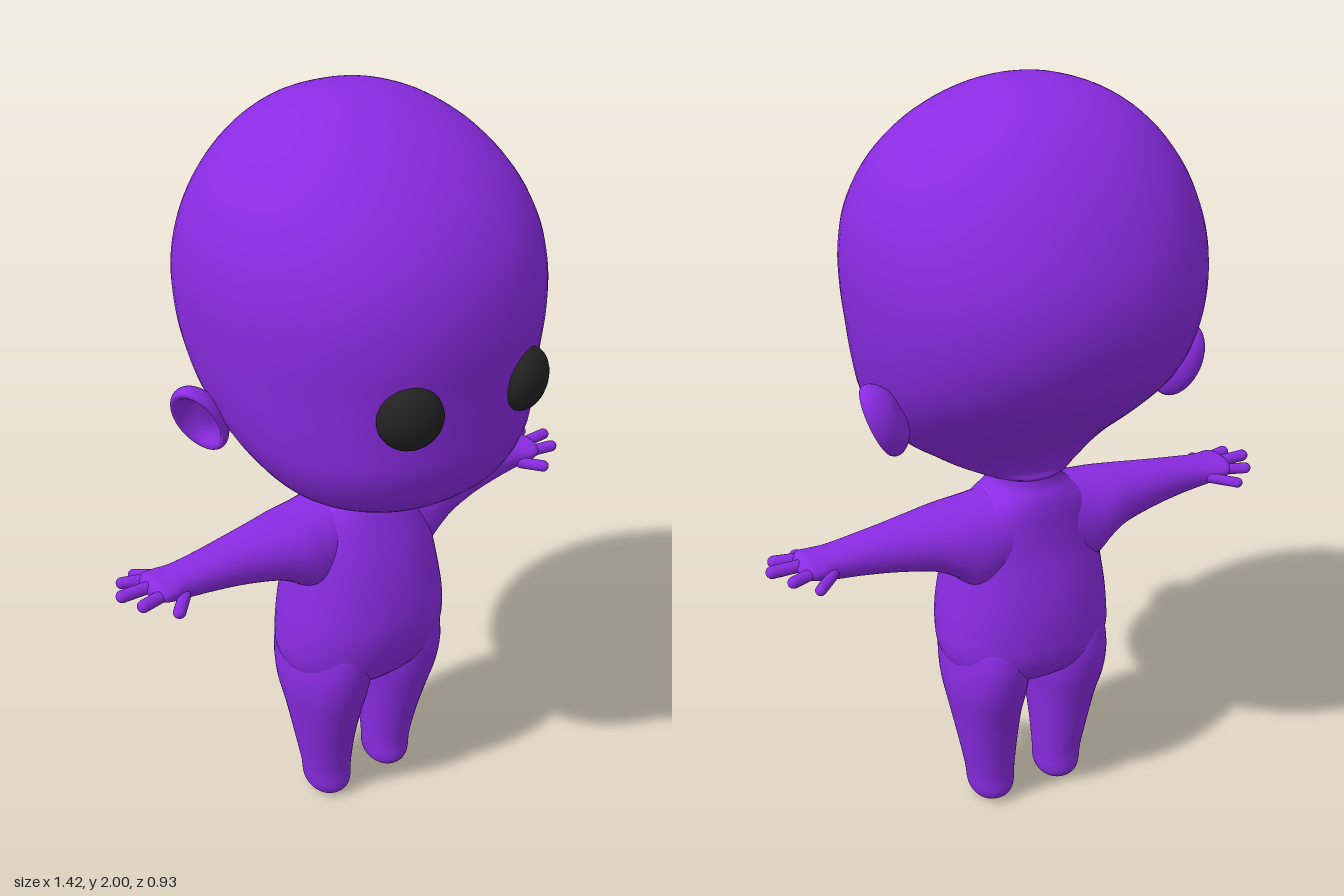
import * as THREE from 'three';

const skin = new THREE.MeshStandardMaterial({ color: 0x8a2be2 });
const dark = new THREE.MeshStandardMaterial({ color: 0x222222 });

// Smooth skin through oval sections. Row: [t, aMin, aMax, bMin, bMax]
// axis 'y': a = x, b = z; axis 'x': a = z, b = y. power > 2 makes sections squarer.
function loft(rows, axis = 'y', power = 2, steps = 48, sides = 48) {
  const c1 = new THREE.CatmullRomCurve3(rows.map(r => new THREE.Vector3(r[0], r[1], r[2])), false, 'catmullrom', 0.5);
  const c2 = new THREE.CatmullRomCurve3(rows.map(r => new THREE.Vector3(r[3], r[4], 0)), false, 'catmullrom', 0.5);
  const pos = [], index = [];
  const curve = v => Math.sign(v) * Math.abs(v) ** (2 / power);
  for (let i = 0; i <= steps; i++) {
    const p = c1.getPoint(i / steps), q = c2.getPoint(i / steps);
    for (let j = 0; j < sides; j++) {
      const th = j / sides * Math.PI * 2;
      const a = (p.y + p.z) / 2 + (p.z - p.y) / 2 * curve(Math.cos(th));
      const b = (q.x + q.y) / 2 + (q.y - q.x) / 2 * curve(Math.sin(th));
      if (axis === 'y') pos.push(a, p.x, b); else pos.push(p.x, b, a);
      if (i < steps) {
        const k = i * sides + j, n = i * sides + (j + 1) % sides;
        index.push(k, k + sides, n + sides, k, n + sides, n);
      }
    }
  }
  const g = new THREE.BufferGeometry();
  g.setAttribute('position', new THREE.Float32BufferAttribute(pos, 3));
  g.setIndex(index);
  g.computeVertexNormals();
  return g;
}

// Mirror across x and turn the faces back outwards
function mirrored(geo) {
  const g = geo.clone().scale(-1, 1, 1), idx = g.index;
  for (let i = 0; i < idx.count; i += 3) {
    const b = idx.getX(i + 1);
    idx.setX(i + 1, idx.getX(i + 2));
    idx.setX(i + 2, b);
  }
  g.computeVertexNormals();
  return g;
}

// Rounded finger from one point to another
function finger(from, to, r) {
  const a = new THREE.Vector3(...from), b = new THREE.Vector3(...to);
  const d = b.clone().sub(a);
  const g = new THREE.CapsuleGeometry(r, d.length(), 6, 14);
  g.applyQuaternion(new THREE.Quaternion().setFromUnitVectors(new THREE.Vector3(0, 1, 0), d.normalize()));
  return g.translate(...a.add(b).multiplyScalar(0.5).toArray());
}

// Cupped ear, leaning out and flaring to the back
function earGeometry() {
  const profile = new THREE.SplineCurve([
    [0, -0.04], [0.5, -0.035], [0.85, -0.015], [1, 0.008], [0.95, 0.026],
    [0.8, 0.024], [0.66, 0.004], [0.4, -0.008], [0, -0.01],
  ].map(p => new THREE.Vector2(...p))).getPoints(32);
  profile.forEach(p => { p.x = Math.max(0, p.x); });
  const g = new THREE.LatheGeometry(profile, 40).scale(0.1, 1, 0.066);
  const u = new THREE.Vector3(0.42, 0.9, 0).normalize();
  const n = new THREE.Vector3(0.45, -0.2, -0.87).cross(u).normalize();
  const w = u.clone().cross(n);
  g.applyMatrix4(new THREE.Matrix4().makeBasis(u, n, w));
  return g.translate(0.405, 1.25, -0.092);
}

export function createModel() {
  const model = new THREE.Group();
  const add = (name, geo, mat = skin) => {
    const m = new THREE.Mesh(geo, mat);
    m.name = name;
    model.add(m);
  };
  const addPair = (name, geo, mat) => {
    add('left' + name, geo, mat);
    add('right' + name, mirrored(geo), mat);
  };
  // Rows for a part symmetric in x: [y, halfWidth, zBack, zFront]
  const sym = rows => rows.map(([y, h, back, front]) => [y, -h, h, back, front]);

  // Head, tapering at the back into the neck
  add('head', loft(sym([
    [1.0, 0, 0.03, 0.03], [1.005, 0.1, -0.11, 0.17], [1.03, 0.18, -0.12, 0.26],
    [1.06, 0.235, -0.13, 0.325], [1.11, 0.305, -0.165, 0.385], [1.2, 0.368, -0.27, 0.428],
    [1.3, 0.402, -0.375, 0.438], [1.4, 0.42, -0.435, 0.445], [1.5, 0.43, -0.46, 0.455],
    [1.6, 0.43, -0.455, 0.447], [1.7, 0.41, -0.425, 0.415], [1.8, 0.362, -0.375, 0.35],
    [1.89, 0.285, -0.305, 0.255], [1.955, 0.19, -0.22, 0.15], [1.99, 0.09, -0.12, 0.055],
    [2.0, 0, -0.03, -0.03],
  ]), 'y', 2.15, 64, 64));

  // Torso with round belly, closed between the legs, and neck
  add('torso', loft(sym([
    [0.385, 0, -0.01, -0.01], [0.395, 0.1, -0.07, 0.06], [0.43, 0.19, -0.14, 0.13],
    [0.5, 0.235, -0.188, 0.176], [0.6, 0.236, -0.192, 0.195], [0.7, 0.222, -0.18, 0.183],
    [0.8, 0.205, -0.158, 0.156], [0.87, 0.185, -0.15, 0.127], [0.92, 0.16, -0.146, 0.103],
    [0.96, 0.115, -0.138, 0.08], [0.985, 0.092, -0.125, 0.063], [1.01, 0.088, -0.12, 0.06],
    [1.05, 0.1, -0.12, 0.08],
  ]), 'y', 2.2));

  // Legs: [y, xInner, xOuter, zBack, zFront]
  addPair('Leg', loft([
    [0, 0.105, 0.105, -0.015, -0.015], [0.005, 0.065, 0.145, -0.06, 0.035],
    [0.035, 0.045, 0.166, -0.087, 0.058], [0.1, 0.04, 0.175, -0.09, 0.06],
    [0.2, 0.033, 0.193, -0.107, 0.08], [0.3, 0.024, 0.211, -0.13, 0.11],
    [0.4, 0.012, 0.228, -0.163, 0.143], [0.5, 0.01, 0.225, -0.175, 0.162],
    [0.58, 0.03, 0.2, -0.14, 0.14], [0.62, 0.1, 0.1, 0, 0],
  ], 'y', 2.1));

  // Arms, flared at the shoulder and flattened into the palm: [x, zBack, zFront, yLow, yHigh]
  addPair('Arm', loft([
    [0, -0.135, 0.085, 0.74, 0.965], [0.1, -0.137, 0.09, 0.72, 0.96],
    [0.17, -0.136, 0.095, 0.705, 0.951], [0.22, -0.128, 0.09, 0.748, 0.945],
    [0.28, -0.11, 0.073, 0.779, 0.939], [0.38, -0.09, 0.05, 0.802, 0.928],
    [0.47, -0.078, 0.038, 0.816, 0.917], [0.54, -0.076, 0.034, 0.826, 0.908],
    [0.58, -0.086, 0.042, 0.838, 0.903], [0.615, -0.08, 0.036, 0.85, 0.9],
    [0.64, -0.025, -0.025, 0.875, 0.875],
  ], 'x', 2.1));

  // Five spread fingers per hand
  [
    ['Thumb', [0.555, 0.855, 0.03], [0.597, 0.85, 0.076], 0.016],
    ['IndexFinger', [0.59, 0.872, 0.015], [0.668, 0.873, 0.032], 0.016],
    ['MiddleFinger', [0.6, 0.878, -0.024], [0.692, 0.88, -0.026], 0.016],
    ['RingFinger', [0.59, 0.873, -0.06], [0.66, 0.874, -0.086], 0.015],
    ['LittleFinger', [0.555, 0.862, -0.075], [0.607, 0.858, -0.125], 0.014],
  ].forEach(([name, from, to, r]) => addPair(name, finger(from, to, r)));

  addPair('Ear', earGeometry());

  // Dark flattened eyes
  const eye = new THREE.SphereGeometry(1, 32, 20).scale(0.078, 0.078, 0.05);
  eye.rotateX(0.08).rotateY(0.4).translate(0.173, 1.37, 0.412);
  addPair('Eye', eye, dark);

  return model;
}
